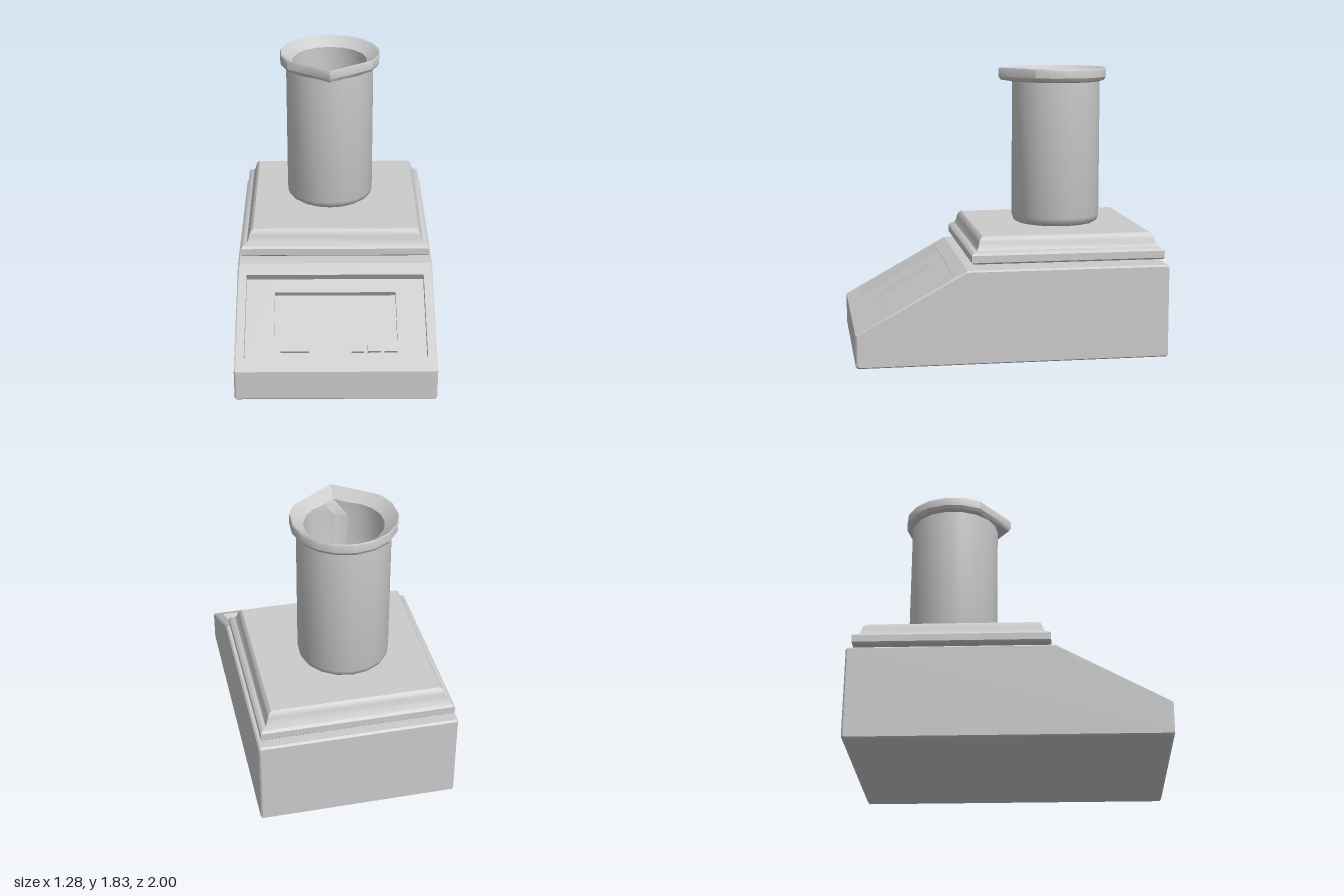
import * as THREE from 'three';
import { toCreasedNormals } from 'three/addons/utils/BufferGeometryUtils.js';

const material = new THREE.MeshStandardMaterial({ color: 0xcccccc });

function add(parent, name, geometry) {
  const mesh = new THREE.Mesh(geometry, material);
  mesh.name = name;
  parent.add(mesh);
  return mesh;
}

// Sloped front: s runs down the slope, d goes in at right angles to it. Returns [z, y].
const TOP = [0.30, 0.60], FOOT = [1, 0.21];
const LENGTH = Math.hypot(FOOT[0] - TOP[0], FOOT[1] - TOP[1]);
const DIR = [(FOOT[0] - TOP[0]) / LENGTH, (FOOT[1] - TOP[1]) / LENGTH];
const onSlope = (s, d) => [
  TOP[0] + DIR[0] * s + DIR[1] * d,
  TOP[1] + DIR[1] * s - DIR[0] * d,
];
const PANEL = 0.055, SCREEN = 0.095;

// Side profile of the housing, with an optional notch cut into the slope
const profile = (notch = []) => [
  [-0.988, 0], [0.988, 0], [1, 0.012], FOOT, ...notch, TOP, [-0.988, 0.6], [-1, 0.588], [-1, 0.012],
];
const panelNotch = (inner = []) => [
  onSlope(0.70, 0), onSlope(0.70, PANEL), ...inner, onSlope(0.09, PANEL), onSlope(0.09, 0),
];
const screenNotch = [
  onSlope(0.546, PANEL), onSlope(0.546, SCREEN), onSlope(0.191, SCREEN), onSlope(0.191, PANEL),
];

// Extrudes a side profile from x0 to x1
function slab(points, x0, x1) {
  const shape = new THREE.Shape(points.map((p) => new THREE.Vector2(...p)));
  const g = new THREE.ExtrudeGeometry(shape, { depth: x1 - x0, bevelEnabled: false });
  return g.rotateY(-Math.PI / 2).translate(x1, 0, 0);
}

// Thin end slab whose outer face is drawn in to chamfer the edges
function chamferSlab(side) {
  const g = slab(profile(), side > 0 ? 0.63 : -0.64, side > 0 ? 0.64 : -0.63);
  const p = g.attributes.position;
  for (let i = 0; i < p.count; i++) {
    if (Math.abs(p.getX(i)) < 0.635) continue;
    p.setY(i, 0.27 + (p.getY(i) - 0.27) * 0.97);
    p.setZ(i, p.getZ(i) * 0.99);
  }
  g.computeVertexNormals();
  return g;
}

function makeHousing() {
  const housing = new THREE.Group();
  housing.name = 'housing';
  add(housing, 'screenSection', slab(profile(panelNotch(screenNotch)), -0.395, 0.395));
  for (const side of [-1, 1]) {
    const between = (a, b) => (side > 0 ? [a, b] : [-b, -a]);
    add(housing, 'panelSection', slab(profile(panelNotch()), ...between(0.395, 0.58)));
    add(housing, 'sideWall', slab(profile(), ...between(0.58, 0.63)));
    add(housing, 'sideChamfer', chamferSlab(side));
  }
  // Keys below the screen: one wide, three small
  const tilt = Math.atan2(-DIR[1], DIR[0]);
  for (const [x0, x1] of [[-0.35, -0.17], [0.10, 0.18], [0.20, 0.285], [0.31, 0.39]]) {
    const [z, y] = onSlope(0.598, PANEL - 0.005);
    const key = add(housing, 'key', new THREE.BoxGeometry(x1 - x0, 0.03, 0.08));
    key.position.set((x0 + x1) / 2, y, z);
    key.rotation.x = tilt;
  }
  return housing;
}

// Square weighing pan: a four-sided turned profile of [half width, y]
function panGeometry() {
  const points = [
    [0, 0.64], [0.61, 0.635], [0.62, 0.645], [0.62, 0.69], [0.605, 0.705], [0.583, 0.715],
    [0.572, 0.735], [0.565, 0.765], [0.557, 0.785], [0.54, 0.80], [0, 0.80],
  ].map(([w, y]) => new THREE.Vector2(w * Math.SQRT2, y));
  return toCreasedNormals(new THREE.LatheGeometry(points, 4, Math.PI / 4), 0.6);
}

// Beaker angles from the spout at the front, denser where the rim runs straight to its tip
const CORNER = THREE.MathUtils.degToRad(56);
const half = [0, 18, 37].map(THREE.MathUtils.degToRad);
for (let i = 0; i <= 6; i++) half.push(CORNER + ((Math.PI - CORNER) * i) / 6);
const ANGLES = [...half, ...half.slice(1, -1).reverse().map((a) => 2 * Math.PI - a)];

const round = (r) => () => r;
// Round rim drawn out to a point at the front
const spouted = (r, tip) => (a) => {
  const t = Math.min(a, 2 * Math.PI - a);
  if (t >= CORNER - 1e-6) return r;
  const dx = r * Math.sin(CORNER), dz = r * Math.cos(CORNER) - tip;
  return (-tip * dx) / (Math.sin(t) * dz - Math.cos(t) * dx);
};
// Inner edge with a pouring notch at the front
const notched = (r, tip) => (a) => (a === 0 ? tip : r);

// Joins rings of [radius rule, y], from the outer base up over the rim and down inside
function loft(rings, crease) {
  const positions = [], index = [], n = ANGLES.length;
  rings.forEach(([radius, y], row) => {
    ANGLES.forEach((a, i) => {
      const r = radius(a);
      positions.push(r * Math.sin(a), y, r * Math.cos(a));
      if (row === rings.length - 1) return;
      const p = row * n + i, q = row * n + ((i + 1) % n);
      index.push(p, q, p + n, q, q + n, p + n);
    });
  });
  const g = new THREE.BufferGeometry();
  g.setAttribute('position', new THREE.Float32BufferAttribute(positions, 3));
  g.setIndex(index);
  return toCreasedNormals(g, crease);
}

function makeBeaker() {
  const beaker = new THREE.Group();
  beaker.name = 'beaker';
  add(beaker, 'beakerWall', loft([
    [round(0), 0.80], [round(0.262), 0.80], [round(0.283), 0.815],
    [round(0.295), 0.85], [round(0.295), 1.745],
  ], 0.7));
  add(beaker, 'beakerRim', loft([
    [round(0.295), 1.74], [spouted(0.322, 0.372), 1.75], [spouted(0.335, 0.385), 1.77],
    [spouted(0.335, 0.385), 1.82], [spouted(0.33, 0.38), 1.83], [notched(0.25, 0.295), 1.77],
  ], 0.5));
  add(beaker, 'beakerInside', loft([
    [notched(0.25, 0.295), 1.77], [round(0.25), 1.68], [round(0.25), 0.88],
    [round(0.23), 0.84], [round(0), 0.84],
  ], 0.5));
  beaker.position.set(-0.03, 0, -0.385);
  return beaker;
}

export function createModel() {
  const model = new THREE.Group();
  model.name = 'laboratoryScale';
  model.add(makeHousing());
  const neck = add(model, 'panSupport', new THREE.BoxGeometry(0.74, 0.06, 0.74));
  neck.position.set(0, 0.62, -0.35);
  add(model, 'weighingPan', panGeometry()).position.z = -0.35;
  model.add(makeBeaker());
  return model;
}
